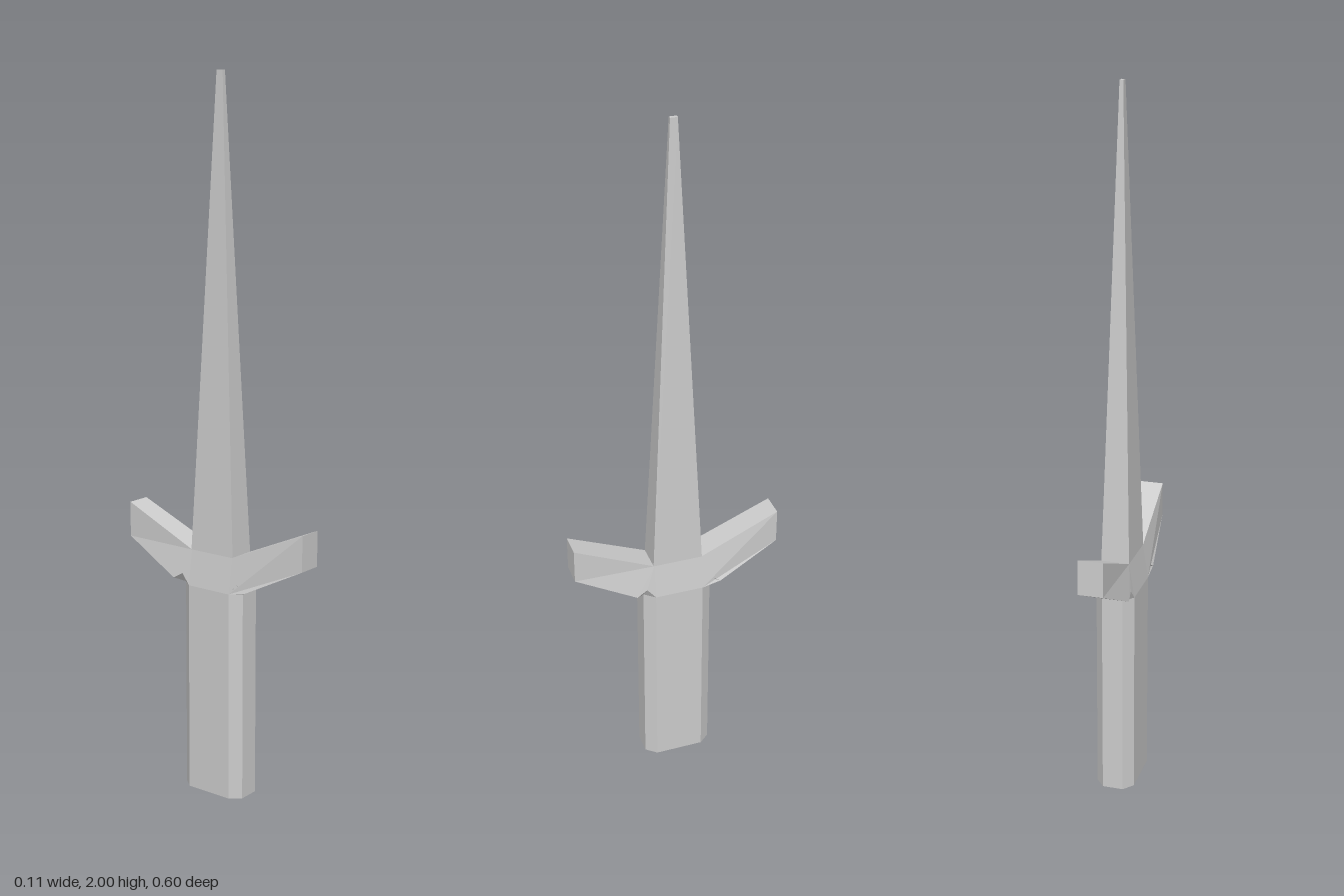
import * as THREE from 'three';

const material = new THREE.MeshStandardMaterial({ color: 0xcccccc, flatShading: true });

function part(name, geometry) {
  const mesh = new THREE.Mesh(geometry, material);
  mesh.name = name;
  return mesh;
}

// Box whose half sizes change from [x, z] at y0 to [x, z] at y1
function taperedBox(y0, bottom, y1, top) {
  const geometry = new THREE.BoxGeometry(2, 1, 2);
  const p = geometry.attributes.position;
  for (let i = 0; i < p.count; i++) {
    const upper = p.getY(i) > 0;
    const [hx, hz] = upper ? top : bottom;
    p.setXYZ(i, p.getX(i) * hx, upper ? y1 : y0, p.getZ(i) * hz);
  }
  geometry.computeVertexNormals();
  return geometry;
}

// Fan-triangulated polygons with hard edges
function polygons(faces) {
  const position = [];
  for (const f of faces) {
    for (let i = 1; i < f.length - 1; i++) position.push(...f[0], ...f[i], ...f[i + 1]);
  }
  const geometry = new THREE.BufferGeometry();
  geometry.setAttribute('position', new THREE.Float32BufferAttribute(position, 3));
  geometry.computeVertexNormals();
  return geometry;
}

// Upswept guard arm along +z, with a small notch where it meets the grip chamfer
function armGeometry() {
  const shoulder = [0.055, 0.6, 0.07];
  const root = [0.03, 0.6, 0.1];
  const notch = [0.052, 0.63, 0.095];
  const under = [0.055, 0.6125, 0.125];
  const tipLow = [0.035, 0.7, 0.3];
  const tipHigh = [0.035, 0.8, 0.3];
  const collar = [0.04, 0.7, 0.07];
  const mirror = ([x, y, z]) => [-x, y, z];

  const side = [
    [collar, tipHigh, tipLow, under, notch, shoulder],
    [shoulder, notch, root],
    [root, notch, under],
  ];
  const faces = [...side, ...side.map((f) => f.map(mirror).reverse())];

  // Strips across the underside, the end and the top
  const rim = [root, under, tipLow, tipHigh, collar];
  for (let i = 0; i < rim.length - 1; i++) {
    faces.push([rim[i], rim[i + 1], mirror(rim[i + 1]), mirror(rim[i])]);
  }
  return polygons(faces);
}

export function createModel() {
  const model = new THREE.Group();
  model.name = 'dagger';

  // Grip: chamfered rectangular prism
  const outline = [
    [0.055, 0.07], [0.03, 0.1], [-0.03, 0.1], [-0.055, 0.07],
    [-0.055, -0.07], [-0.03, -0.1], [0.03, -0.1], [0.055, -0.07],
  ];
  const shape = new THREE.Shape(outline.map(([x, z]) => new THREE.Vector2(x, z)));
  const grip = new THREE.ExtrudeGeometry(shape, { depth: 0.6, bevelEnabled: false });
  grip.rotateX(-Math.PI / 2);
  model.add(part('grip', grip));

  // Guard: tapered centre and two mirrored arms
  const guard = new THREE.Group();
  guard.name = 'guard';
  guard.add(part('guardCentre', taperedBox(0.6, [0.055, 0.07], 0.7, [0.04, 0.07])));
  const arm = armGeometry();
  const frontArm = part('frontGuardArm', arm);
  const backArm = part('backGuardArm', arm);
  backArm.rotation.y = Math.PI;
  guard.add(frontArm, backArm);
  model.add(guard);

  // Blade: long taper to a small blunt tip
  model.add(part('blade', taperedBox(0.7, [0.04, 0.072], 2, [0.005, 0.01])));

  return model;
}
